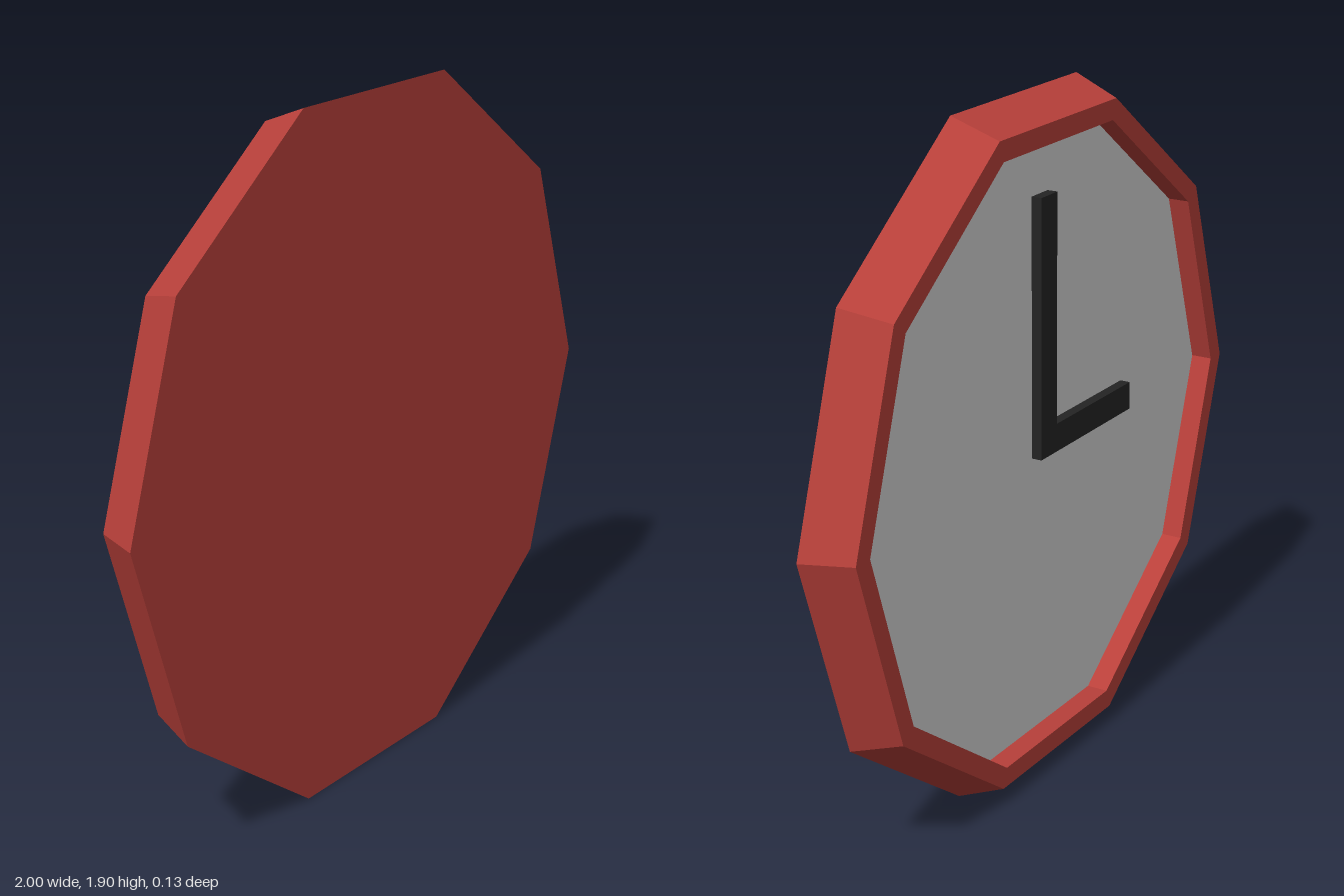
import * as THREE from 'three';

const RADIUS = 1, SIDES = 10;
const CENTRE_Y = RADIUS * Math.sin(Math.PI * 0.4);
const HALF = 0.067;      // half the casing depth
const FACE_Z = -0.005;   // recessed dial plane; the dial looks towards -z

export function createModel() {
  const red = new THREE.MeshStandardMaterial({ color: 0xb8403a, flatShading: true });
  red.name = 'red casing';
  const grey = new THREE.MeshStandardMaterial({ color: 0xd4d4d4 });
  grey.name = 'pale grey dial';
  const black = new THREE.MeshStandardMaterial({ color: 0x242424 });
  black.name = 'black hands';

  const clock = new THREE.Group();
  clock.name = 'wallClock';
  const add = (name, geometry, material) => {
    const mesh = new THREE.Mesh(geometry, material);
    mesh.name = name;
    mesh.position.y = CENTRE_Y;
    clock.add(mesh);
  };

  // Ten-sided casing: flat wall side, tapered outside, rim and inner wall
  const profile = [[0, -HALF], [RADIUS, -HALF], [0.945, HALF], [0.886, HALF], [0.886, -FACE_Z]]
    .map(([r, h]) => new THREE.Vector2(r, h));
  add('casing', new THREE.LatheGeometry(profile, SIDES, Math.PI / 2).rotateX(-Math.PI / 2), red);

  // Dial closing the recess
  add('dial', new THREE.CircleGeometry(0.886, SIDES).rotateY(Math.PI).translate(0, 0, FACE_Z), grey);

  // Hands, given by their extents on the dial
  const hand = (name, x0, x1, y0, y1) => add(name,
    new THREE.BoxGeometry(x1 - x0, y1 - y0, 0.03)
      .translate((x0 + x1) / 2, (y0 + y1) / 2, FACE_Z - 0.015), black);
  hand('minuteHand', -0.04, 0.04, -0.03, 0.695);
  hand('hourHand', -0.445, -0.04, -0.03, 0.05);

  return clock;
}
